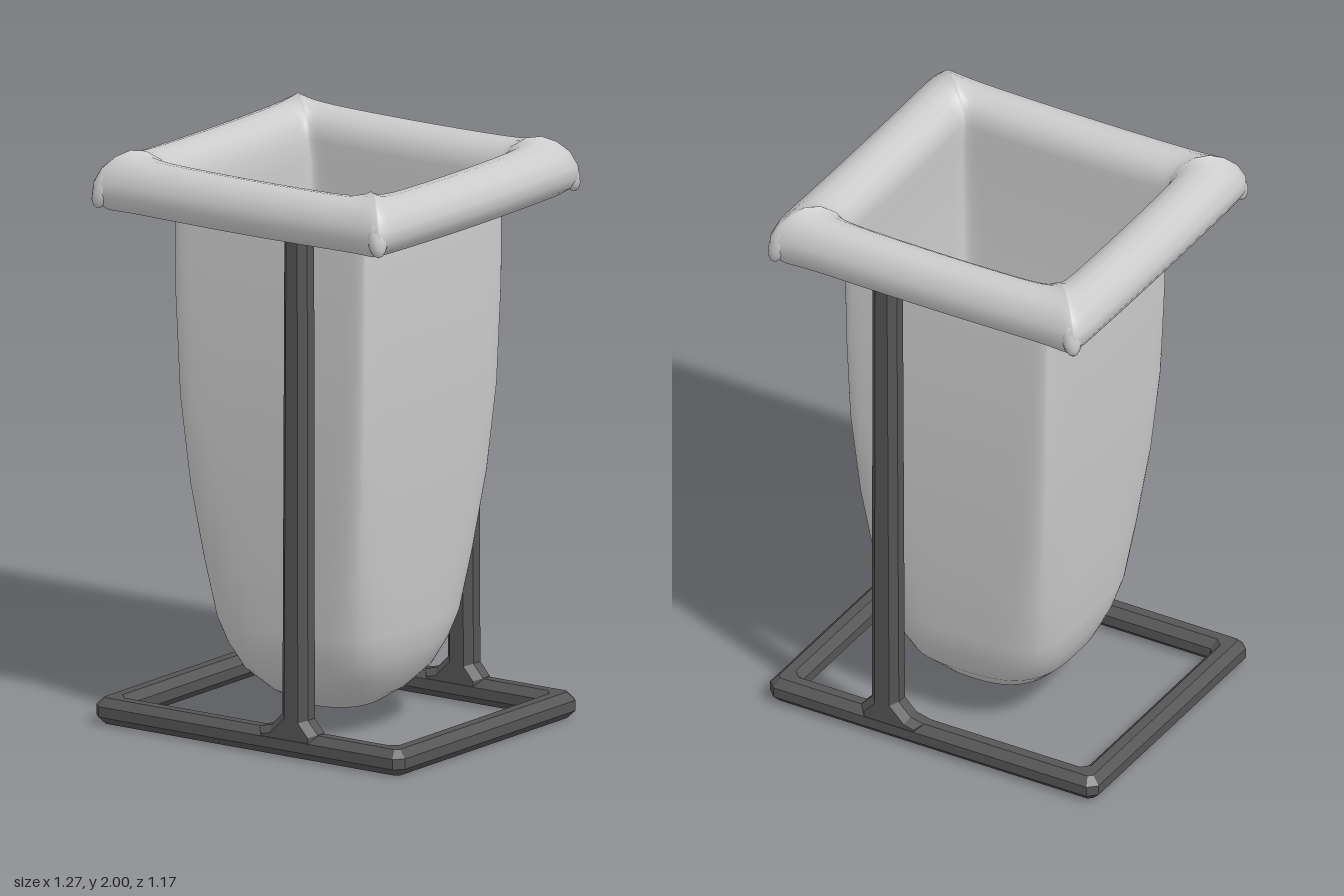
import * as THREE from 'three';

const frameMat = new THREE.MeshStandardMaterial({ color: 0x555555, flatShading: true });
const clothMat = new THREE.MeshStandardMaterial({ color: 0xcccccc, side: THREE.DoubleSide });

// Extrude with a single chamfer that stays inside the drawn outline
function chamfered(shape, thickness, bevel) {
  const geo = new THREE.ExtrudeGeometry(shape, {
    depth: thickness - 2 * bevel, bevelEnabled: true, bevelSegments: 1,
    bevelSize: bevel, bevelThickness: bevel, bevelOffset: -bevel,
  });
  geo.translate(0, 0, bevel - thickness / 2);
  return geo;
}

// Corner points of a rectangle with clipped corners
function clippedRect(x, z, c) {
  return [[x, z - c], [x - c, z], [c - x, z], [-x, z - c], [-x, c - z], [c - x, -z], [x - c, -z], [x, c - z]]
    .map(([a, b]) => new THREE.Vector2(a, b));
}

// Rectangular ring of chamfered bars lying flat
function ring(name, x, z, y) {
  const shape = new THREE.Shape(clippedRect(x, z, 0.03));
  shape.holes.push(new THREE.Path(clippedRect(x - 0.09, z - 0.09, 0.012).reverse()));
  const mesh = new THREE.Mesh(chamfered(shape, 0.09, 0.027), frameMat);
  mesh.name = name;
  mesh.rotation.x = -Math.PI / 2;
  mesh.position.y = y;
  return mesh;
}

// Upright with flared ends
function post(name, z) {
  const outline = [
    [0.04, 0.04], [0.04, 0.093], [0.09, 0.105], [0.135, 0.15], [0.143, 1.8], [0.1, 1.85], [0.1, 1.9],
    [0.28, 1.9], [0.28, 1.85], [0.237, 1.8], [0.24, 0.14], [0.28, 0.095], [0.28, 0.04],
  ].map(([x, y]) => new THREE.Vector2(x, y)).reverse();
  const mesh = new THREE.Mesh(chamfered(new THREE.Shape(outline), 0.088, 0.024), frameMat);
  mesh.name = name;
  mesh.position.z = z;
  return mesh;
}

// Bag and folded-over rim: one sheet swept through rounded-square rings
function clothGeometry() {
  // [half width x, half width z, height, squareness, corner lift, corner flare]
  const rings = [
    [0.06, 0.06, 0.072, 2.2, 0, 0],
    [0.14, 0.14, 0.085, 2.3, 0, 0],
    [0.215, 0.22, 0.135, 2.6, 0, 0],
    [0.28, 0.29, 0.205, 3, 0, 0],
    [0.315, 0.325, 0.29, 3.6, 0, 0],
    [0.335, 0.343, 0.38, 4.5, 0, 0],
    [0.35, 0.36, 0.58, 7, 0, 0],
    [0.372, 0.382, 0.85, 12, 0, 0],
    [0.392, 0.397, 1.15, 18, 0, 0],
    [0.4, 0.404, 1.5, 24, 0, 0],
    [0.402, 0.4, 1.8, 28, 0, 0],
    [0.4, 0.393, 1.87, 30, 0, 0],
    [0.412, 0.4, 1.915, 30, 0.008, 0],
    [0.436, 0.422, 1.95, 30, 0.015, 0],
    [0.475, 0.455, 1.972, 30, 0.022, 0],
    [0.515, 0.49, 1.978, 30, 0.02, 0],
    [0.555, 0.525, 1.966, 26, 0.012, 0.005],
    [0.59, 0.553, 1.94, 26, 0, 0.012],
    [0.612, 0.57, 1.9, 26, -0.01, 0.015],
    [0.612, 0.572, 1.86, 26, -0.012, 0.012],
    [0.592, 0.558, 1.825, 26, -0.01, 0.015],
    [0.567, 0.54, 1.803, 26, -0.004, 0.02],
  ];
  const perSide = 24, count = perSide * 4;
  const pos = [0.01, 0.07, 0], index = [];
  for (const [hx, hz, y, n, lift, flare] of rings) {
    for (let i = 0; i < count; i++) {
      const side = Math.floor(i / perSide);
      const t = Math.sin(((i % perSide) / perSide * 2 - 1) * Math.PI / 2);
      const [px, pz] = [[1, -t], [-t, -1], [-1, t], [t, 1]][side];
      const k = Math.pow(Math.abs(px) ** n + Math.abs(pz) ** n, -1 / n);
      const corner = Math.pow(Math.abs(t), 10);
      // slight sag along the sides of the rim
      const sag = y > 1.79 ? -0.008 * (1 - t * t) : 0;
      pos.push(
        px * (hx * k - corner * flare * 0.4) + (y < 1.85 && hx < 0.45 ? 0.01 : 0),
        y + lift * corner + sag,
        pz * (hz * k + corner * flare),
      );
    }
  }
  for (let i = 0; i < count; i++) {
    const j = (i + 1) % count;
    index.push(0, 1 + j, 1 + i);
    for (let r = 0; r < rings.length - 1; r++) {
      const a = 1 + r * count, b = a + count;
      index.push(a + i, a + j, b + j, a + i, b + j, b + i);
    }
  }
  const geo = new THREE.BufferGeometry();
  geo.setAttribute('position', new THREE.Float32BufferAttribute(pos, 3));
  geo.setIndex(index);
  geo.computeVertexNormals();
  return geo;
}

export function createModel() {
  const model = new THREE.Group();
  model.name = 'laundryHamper';

  // Stand
  const stand = new THREE.Group();
  stand.name = 'stand';
  stand.add(ring('baseFrame', 0.637, 0.518, 0.048));
  stand.add(ring('topFrame', 0.575, 0.518, 1.885));
  stand.add(post('frontPost', 0.473), post('backPost', -0.473));
  model.add(stand);

  // Cloth bag hung over the top frame
  const bag = new THREE.Mesh(clothGeometry(), clothMat);
  bag.name = 'clothBag';
  model.add(bag);

  // Gathered cloth tips at the rim corners
  for (const sx of [-1, 1]) for (const sz of [-1, 1]) {
    const tip = new THREE.Mesh(new THREE.SphereGeometry(1, 12, 8), clothMat);
    tip.name = 'cornerGather';
    tip.scale.set(0.035, 0.075, 0.035);
    tip.position.set(sx * 0.565, 1.875, sz * 0.545);
    tip.rotation.set(-sz * 0.25, 0, sx * 0.25);
    model.add(tip);
  }
  return model;
}
